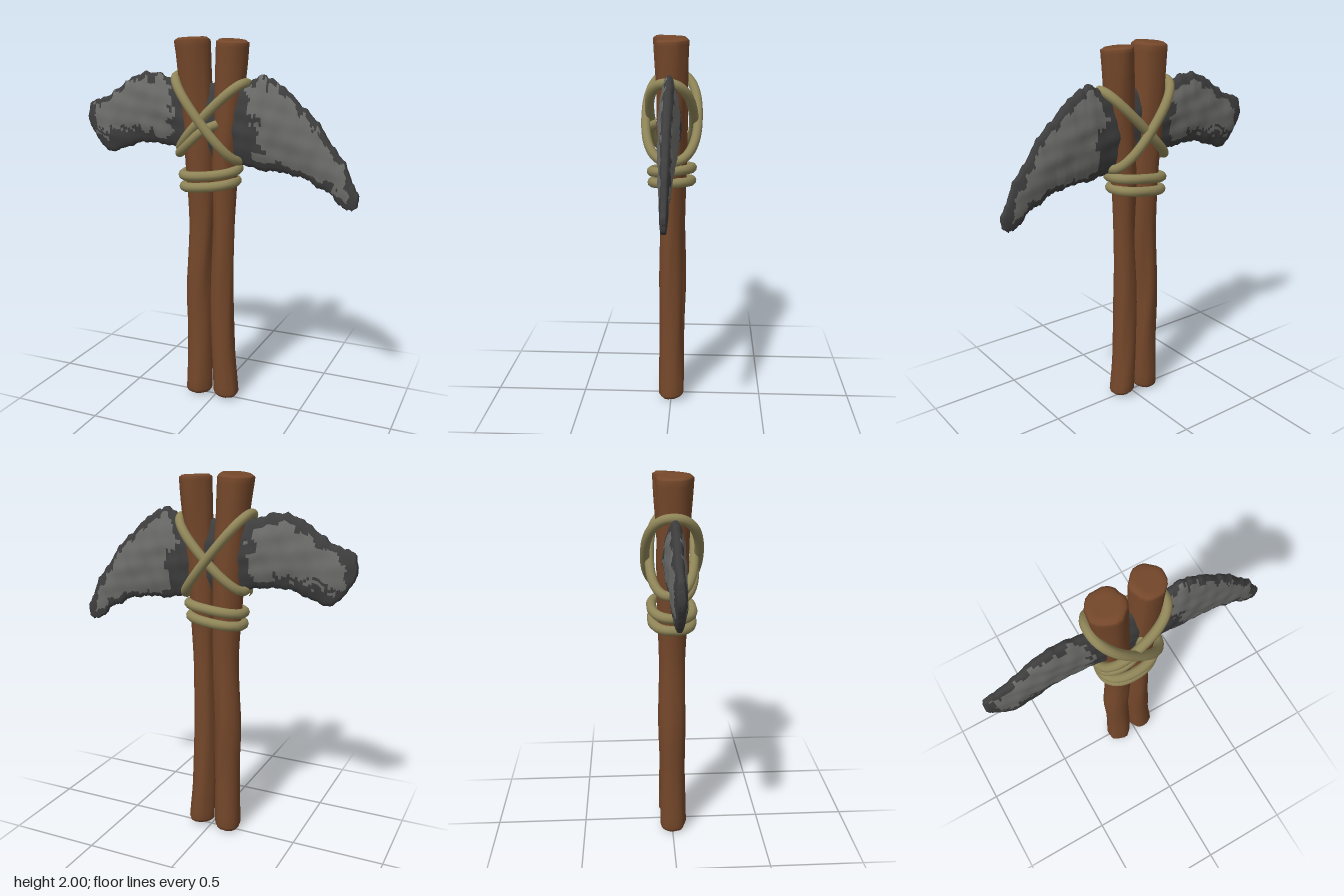
import * as THREE from 'three';

const mat = (name, color) => Object.assign(new THREE.MeshStandardMaterial({ color }), { name });
const V = (x, y, z) => new THREE.Vector3(x, y, z);

// smooth repeatable bumps, about -1..1
const bump = (x, y, s) =>
  (Math.sin(x * 1.7 + y * 2.3 + s) + Math.sin(x * 3.9 - y * 1.3 + s * 2.1) + Math.sin(y * 4.7 + x * 0.8 + s * 3.7)) / 3;

// closed skin over a list of equal rings; pick(i, j) returns the material index
function skin(rings, pick = () => 0) {
  const n = rings[0].length, m = rings.length, pos = [], lists = [[], []];
  rings.forEach(r => r.forEach(p => pos.push(p.x, p.y, p.z)));
  for (let i = 0; i < m - 1; i++) for (let j = 0; j < n; j++) {
    const a = i * n + j, b = i * n + (j + 1) % n;
    lists[pick(i, j)].push(a, a + n, b, b, a + n, b + n);
  }
  [0, m - 1].forEach(i => {
    const c = rings[i].reduce((s, p) => s.add(p), V(0, 0, 0)).divideScalar(n);
    const k = pos.length / 3;
    pos.push(c.x, c.y, c.z);
    for (let j = 0; j < n; j++) {
      const a = i * n + j, b = i * n + (j + 1) % n;
      lists[pick(Math.min(i, m - 2), j)].push(...(i ? [k, b, a] : [k, a, b]));
    }
  });
  const g = new THREE.BufferGeometry();
  g.setAttribute('position', new THREE.Float32BufferAttribute(pos, 3));
  g.setIndex([...lists[0], ...lists[1]]);
  g.addGroup(0, lists[0].length, 0);
  g.addGroup(lists[0].length, lists[1].length, 1);
  g.computeVertexNormals();
  return g;
}

// knobbly pole; stations are [x, y, z, radius]
function pole(stations, seed) {
  const path = new THREE.CatmullRomCurve3(stations.map(s => V(s[0], s[1], s[2])));
  const radii = new THREE.CatmullRomCurve3(stations.map(s => V(s[3], s[1], 0)));
  const rings = [], N = 20, M = 44;
  const ring = (t, k, dy) => {
    const c = path.getPoint(t), r = radii.getPoint(t).x, pts = [];
    for (let j = 0; j < N; j++) {
      const a = j / N * Math.PI * 2;
      const q = r * k * (1 + 0.06 * bump(Math.cos(a) * 2 + c.y * 1.5, Math.sin(a) * 2 + c.y * 2, seed)
        + 0.025 * Math.sin(a * 5 + c.y * 3 + seed));
      pts.push(V(c.x + Math.cos(a) * q, c.y + dy + 0.006 * Math.sin(a + seed), c.z + Math.sin(a) * q));
    }
    rings.push(pts);
  };
  ring(0, 0.55, 0); ring(0, 0.78, 0.002); ring(0, 0.92, 0.012);
  for (let i = 0; i <= M; i++) ring(0.012 + 0.976 * i / M, 1, 0);
  ring(1, 0.93, -0.01); ring(1, 0.8, -0.001); ring(1, 0.55, -0.002);
  return skin(rings);
}

// stone blade: [upper x, upper y, lower x, lower y, half thickness]
const BLADE = [
  [-.77, 1.58, -.77, 1.53, .02], [-.755, 1.635, -.73, 1.46, .025], [-.67, 1.67, -.655, 1.375, .037],
  [-.57, 1.725, -.53, 1.405, .043], [-.47, 1.795, -.42, 1.435, .047], [-.36, 1.81, -.31, 1.435, .05],
  [-.23, 1.78, -.2, 1.41, .054], [-.03, 1.76, -.03, 1.38, .055], [.17, 1.77, .15, 1.35, .055],
  [.26, 1.81, .27, 1.33, .055], [.34, 1.775, .36, 1.325, .05], [.44, 1.69, .44, 1.315, .046],
  [.54, 1.6, .5, 1.3, .04], [.61, 1.5, .56, 1.265, .035], [.69, 1.4, .62, 1.24, .028],
  [.73, 1.31, .67, 1.19, .022], [.77, 1.23, .72, 1.16, .018], [.765, 1.185, .745, 1.165, .014],
];

function blade() {
  const up = new THREE.CatmullRomCurve3(BLADE.map(s => V(s[0], s[1], s[4])));
  const low = new THREE.CatmullRomCurve3(BLADE.map(s => V(s[2], s[3], s[4])));
  const M = 130, R = 22, rings = [];
  for (let i = 0; i <= M; i++) {
    const a = up.getPoint(i / M), b = low.getPoint(i / M), pts = [];
    // chipped rims
    a.y += 0.009 * bump(i * 0.55, 0, 1) + 0.004 * Math.sin(i * 1.3);
    b.y += 0.009 * bump(i * 0.5, 3, 2);
    for (let j = 0; j < 2 * R; j++) {
      const front = j < R, t = (front ? j : 2 * R - 1 - j) / (R - 1);
      const p = b.clone().lerp(a, t), body = Math.pow(1 - Math.pow(Math.abs(2 * t - 1), 2), 0.7);
      const chip = 0.16 * bump(p.x * 14, p.y * 14, front ? 0 : 5) * body;
      const h = 0.009 + (p.z - 0.009) * (body * 0.95 + chip);
      pts.push(V(p.x, p.y, front ? h : -h));
    }
    rings.push(pts);
  }
  // dark rim, dark zone beside the poles and a dark patch low on the blunt end
  const pick = (i, j) => {
    const front = j < R, p = rings[i][j], t = (front ? j : 2 * R - 1 - j) / (R - 1);
    const w = rings[i][0].distanceTo(rings[i][R - 1]);
    const n = bump(p.x * 17, p.y * 17, front ? 1 : 4) + 0.4 * bump(p.x * 45, p.y * 45, 2);
    const rim = Math.min(t, 1 - t) * w < 0.036 + 0.028 * n;
    const ends = p.x < -0.725 + 0.02 * n || p.x > 0.715 + 0.02 * n;
    const middle = p.x > -0.25 + 0.04 * n && p.x < (p.y < 1.6 ? 0.24 : 0.18) + 0.05 * n;
    const patch = p.x < -0.36 && p.y < 1.51 + 0.1 * (p.x + 0.5) + 0.05 * n && n < 0.35;
    return rim || ends || middle || patch ? 1 : 0;
  };
  return skin(rings, pick);
}

// tilted rope loop between a left and a right point, bulging in depth
function loop(x0, y0, x1, y1, depth, radius, lift = 0) {
  const pts = [], pw = (v) => Math.sign(v) * Math.pow(Math.abs(v), 0.85);
  for (let i = 0; i < 28; i++) {
    const a = i / 28 * Math.PI * 2, k = (1 - pw(Math.cos(a))) / 2;
    pts.push(V(x0 + (x1 - x0) * k, y0 + (y1 - y0) * k + lift * Math.sin(a), depth * pw(Math.sin(a))));
  }
  return new THREE.TubeGeometry(new THREE.CatmullRomCurve3(pts, true), 80, radius, 10, true);
}

export function createModel() {
  const wood = mat('brown wood', 0x74472a);
  const stone = mat('grey stone', 0x6c6c6a);
  const darkStone = mat('dark stone', 0x3e3e3f);
  const rope = mat('tan rope', 0x8f8558);
  const model = new THREE.Group();
  model.name = 'stonePickaxe';
  const add = (name, geo, material) => {
    const m = new THREE.Mesh(geo, material);
    m.name = name;
    model.add(m);
  };

  // pair of lashed poles
  add('rightPole', pole([[-.098, .01, .005, .073], [-.095, .35, 0, .07], [-.1, .65, 0, .072], [-.085, 1, 0, .07],
    [-.09, 1.25, 0, .076], [-.1, 1.55, 0, .084], [-.115, 1.8, .005, .087], [-.128, 1.995, .008, .094]], 1), wood);
  add('leftPole', pole([[.062, .02, 0, .072], [.045, .3, 0, .066], [.038, .6, 0, .064], [.046, 1, 0, .058],
    [.05, 1.3, 0, .066], [.065, 1.6, 0, .074], [.08, 1.85, -.005, .082], [.088, 1.985, -.005, .085]], 4), wood);

  add('stoneHead', blade(), [stone, darkStone]);

  // crossed lashings
  add('fallingLashing', loop(-.215, 1.8, .135, 1.37, .138, .025), rope);
  add('risingLashing', loop(-.195, 1.41, .17, 1.77, .115, .025, .02), rope);
  const strand = new THREE.CatmullRomCurve3([V(-.2, 1.4, -.02), V(-.185, 1.4, .06), V(-.11, 1.46, .108), V(-.03, 1.53, .108), V(.03, 1.56, .06)]);
  add('lashingStrand', new THREE.TubeGeometry(strand, 24, .024, 10), rope);

  // level bindings under the head
  add('upperBinding', loop(-.18, 1.285, .12, 1.32, .108, .026, -.01), rope);
  add('lowerBinding', loop(-.175, 1.22, .11, 1.255, .105, .026, -.005), rope);
  return model;
}
